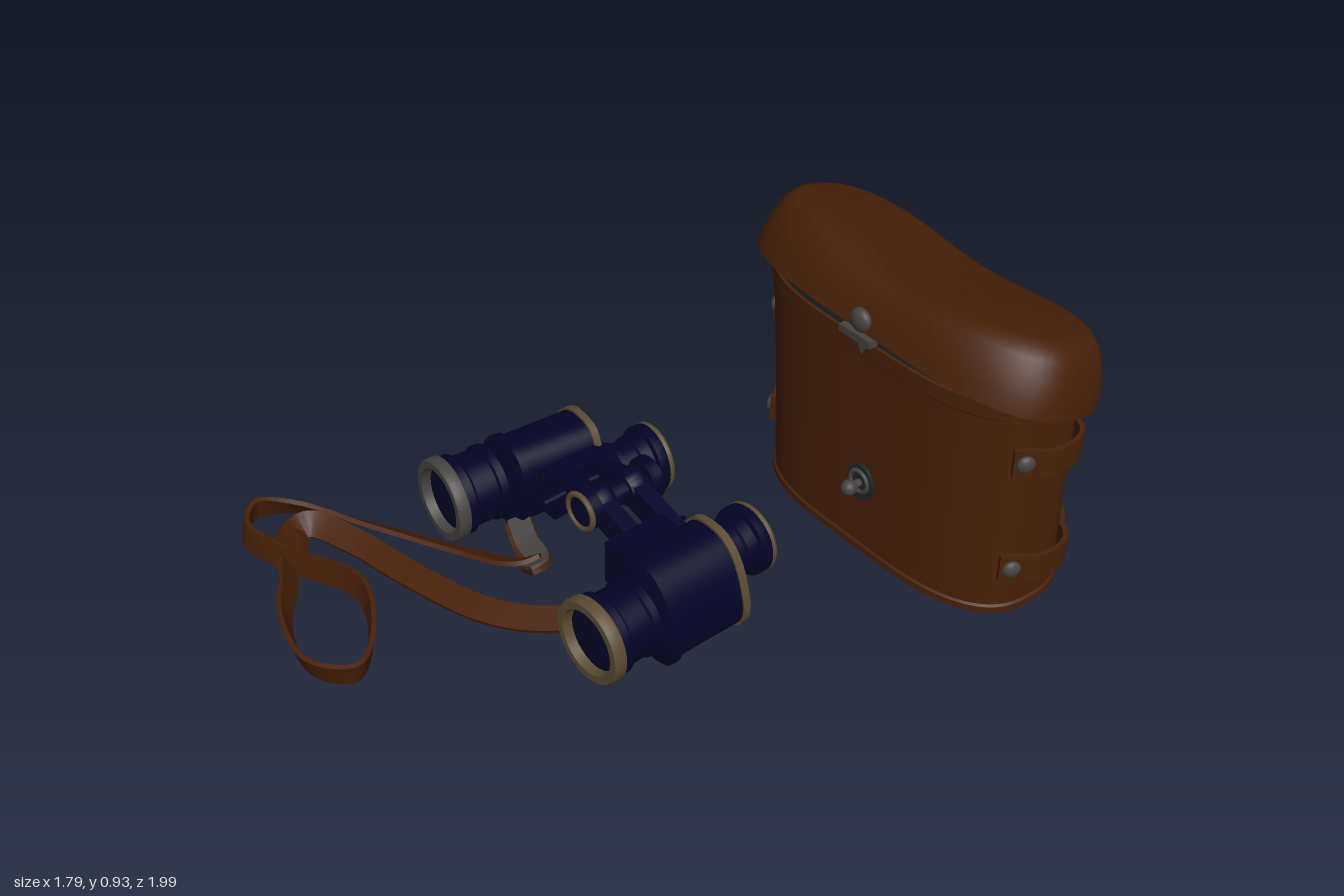
import * as THREE from 'three';
import { toCreasedNormals } from 'three/addons/utils/BufferGeometryUtils.js';

const material = (name, color) => {
  const m = new THREE.MeshStandardMaterial({ color });
  m.name = name;
  return m;
};
const V = (x, y, z) => new THREE.Vector3(x, y, z);

// Skin a list of equal-length rings (counter-clockwise about the travel direction), with end caps
function loft(rings, crease = 0.6) {
  const n = rings[0].length, pos = [], idx = [];
  rings.forEach(r => r.forEach(p => pos.push(p.x, p.y, p.z)));
  for (let i = 0; i < rings.length - 1; i++)
    for (let j = 0; j < n; j++) {
      const a = i * n + j, b = i * n + (j + 1) % n;
      idx.push(a, b, b + n, a, b + n, a + n);
    }
  [0, rings.length - 1].forEach((i, end) => {
    const c = V(0, 0, 0);
    rings[i].forEach(p => c.addScaledVector(p, 1 / n));
    const k = pos.length / 3;
    pos.push(c.x, c.y, c.z);
    for (let j = 0; j < n; j++) {
      const a = i * n + j, b = i * n + (j + 1) % n;
      end ? idx.push(k, a, b) : idx.push(k, b, a);
    }
  });
  const g = new THREE.BufferGeometry();
  g.setAttribute('position', new THREE.Float32BufferAttribute(pos, 3));
  g.setIndex(idx);
  return toCreasedNormals(g, crease);
}

// Flat leather band along [x, y, z, tilt] points; tilt 0 stands on edge
function band(points, width, thick, steps) {
  const curve = new THREE.CatmullRomCurve3(points.map(p => V(p[0], p[1], p[2])));
  const tilts = new THREE.CatmullRomCurve3(points.map(p => V(p[3] || 0, 0, 0)));
  const rings = [];
  for (let i = 0; i <= steps; i++) {
    const u = i / steps, c = curve.getPoint(u), t = curve.getTangent(u), a = tilts.getPoint(u).x;
    const side = V(0, 1, 0).cross(t).normalize();
    const w = t.clone().cross(side).multiplyScalar(Math.cos(a)).addScaledVector(side, Math.sin(a)).normalize();
    const n = t.clone().cross(w).normalize();
    rings.push([[1, 1], [-1, 1], [-1, -1], [1, -1]].map(([p, q]) =>
      c.clone().addScaledVector(w, p * width / 2).addScaledVector(n, q * thick / 2)));
  }
  return loft(rings);
}

const spow = (v, e) => Math.sign(v) * Math.abs(v) ** e;
const waist = x => Math.exp(-((x / 0.27) ** 2));

// Horizontal kidney-shaped ring of the case; dip lowers its middle
function caseRing(y, hx, hz, cx = 0, dip = 0) {
  return Array.from({ length: 72 }, (_, i) => {
    const a = i / 72 * Math.PI * 2;
    const x = hx * spow(Math.cos(a), 0.74), z = -hz * spow(Math.sin(a), 0.74);
    return V(x + cx, y - dip * waist(x), z * (1 - 0.05 * waist(x)));
  });
}

// Upright rounded ring of a prism housing, its top leaning sideways
function prismRing(z, hx, hy, lean) {
  return Array.from({ length: 40 }, (_, i) => {
    const a = i / 40 * Math.PI * 2;
    const k = spow(Math.sin(a), 0.78);
    return V(hx * spow(Math.cos(a), 0.78) * (1 - 0.12 * k) + lean * k, 0.18 + hy * k, z);
  });
}

// Turned part along z, profile as [radius, z] with z rising on the outside
function turned(profile) {
  const g = new THREE.LatheGeometry(profile.map(p => new THREE.Vector2(p[0], p[1])), 40);
  return toCreasedNormals(g.rotateX(Math.PI / 2), 0.6);
}

export function createModel() {
  const leather = material('brown leather', 0x472008);
  const navy = material('navy enamel', 0x040327);
  const brass = material('worn brass', 0x594a32);
  const steel = material('grey steel', 0x444340);
  const lining = material('dark lining', 0x1c2424);

  const root = new THREE.Group();
  const add = (parent, name, geo, mat, x = 0, y = 0, z = 0) => {
    const m = new THREE.Mesh(geo, mat);
    m.name = name;
    m.position.set(x, y, z);
    parent.add(m);
    return m;
  };
  const group = (parent, name, x, y, z) => {
    const g = new THREE.Group();
    g.name = name;
    g.position.set(x, y, z);
    parent.add(g);
    return g;
  };
  const box = (w, h, d) => new THREE.BoxGeometry(w, h, d);

  // Carrying case
  const carry = group(root, 'carryingCase', 0.32, 0, -0.737);
  carry.rotation.y = -0.03;
  add(carry, 'caseBody', loft([
    caseRing(0.03, 0.475, 0.222, 0.02), caseRing(0.035, 0.49, 0.24, 0.02), caseRing(0.055, 0.49, 0.24, 0.02),
    caseRing(0.06, 0.483, 0.234, 0.02), caseRing(0.4, 0.492, 0.237, 0.012), caseRing(0.69, 0.505, 0.239),
    caseRing(0.695, 0.511, 0.243), caseRing(0.742, 0.511, 0.243), caseRing(0.745, 0.5, 0.235),
  ]), leather);
  add(carry, 'caseLining', loft([caseRing(0.73, 0.5, 0.236), caseRing(0.79, 0.5, 0.232)]), lining);
  add(carry, 'hingePatch', new THREE.SphereGeometry(0.05, 20, 12), lining, 0.482, 0.645, -0.115).scale.set(0.4, 0.5, 1);

  // Lid tilted open at the front and slightly to one side, with a saddle-shaped top
  const lid = group(carry, 'lid', 0, 0.718, 0.006);
  lid.rotation.set(-0.27, 0, -0.025);
  add(lid, 'lidShell', loft([
    caseRing(0, 0.55, 0.25), caseRing(0, 0.572, 0.268), caseRing(0.05, 0.568, 0.262),
    caseRing(0.1, 0.552, 0.249, 0, 0.01), caseRing(0.15, 0.53, 0.23, 0, 0.028), caseRing(0.175, 0.508, 0.21, 0, 0.037),
    caseRing(0.188, 0.475, 0.18, 0, 0.042), caseRing(0.194, 0.3, 0.1, 0, 0.042), caseRing(0.195, 0.02, 0.01, 0, 0.042),
  ], 0.8), leather);
  add(lid, 'lidLining', loft([caseRing(-0.004, 0.558, 0.256), caseRing(0.02, 0.558, 0.256)]), lining);

  // Strap keepers wrapping from the front of each end to the back, with studs
  for (const s of [-1, 1])
    for (const y of [0.2, 0.56]) {
      const onEnd = (a, lift) => {
        const nx = s * Math.cos(a) ** 1.26 / 0.5, nz = spow(Math.sin(a), 1.26) / 0.237, l = Math.hypot(nx, nz);
        return [0.012 + s * 0.492 * Math.cos(a) ** 0.74 + lift * nx / l, y,
          0.237 * spow(Math.sin(a), 0.74) + lift * nz / l, Math.atan2(nz, nx)];
      };
      const path = Array.from({ length: 17 }, (_, i) => {
        const a = 0.4 - i / 16 * 1.54;
        return onEnd(a, 0.008 + 0.036 * Math.max(0, 1 - ((a + 0.06) / 0.3) ** 2)).slice(0, 3);
      });
      add(carry, 'strapKeeper', band(path, 0.085, 0.014, 40), leather);
      for (const a of [0.28, -1.04]) {
        const [px, py, pz, turn] = onEnd(a, 0.018);
        const stud = add(carry, 'keeperStud', new THREE.SphereGeometry(0.027, 20, 12), steel, px, py, pz);
        stud.scale.x = 0.6;
        stud.rotation.y = -turn;
      }
    }

  // Clasp on the lid and its socket below
  const disc = (r, d) => new THREE.CylinderGeometry(r, r, d, 28).rotateX(Math.PI / 2);
  add(carry, 'claspStud', new THREE.SphereGeometry(0.036, 24, 14), steel, 0.005, 0.812, 0.243).scale.z = 0.6;
  add(carry, 'claspPlate', box(0.12, 0.022, 0.03), steel, 0.005, 0.768, 0.25);
  add(carry, 'claspTongue', new THREE.CylinderGeometry(0.036, 0.036, 0.014, 3).rotateX(Math.PI / 2), steel, 0.01, 0.738, 0.231);
  add(carry, 'socketPlate', disc(0.048, 0.016), lining, 0.04, 0.28, 0.228).scale.y = 1.2;
  add(carry, 'socketRing', new THREE.TorusGeometry(0.034, 0.007, 10, 28), steel, 0.04, 0.285, 0.238);
  add(carry, 'socketPost', disc(0.012, 0.05), steel, 0.04, 0.28, 0.255);
  add(carry, 'socketKnob', new THREE.SphereGeometry(0.024, 20, 12), steel, 0.04, 0.28, 0.275);

  // Field glass: two barrels
  const glass = group(root, 'fieldGlass', 0, 0, 0);
  function barrel(name, x, z, yaw, eyeX, objX, lean, rimMat, coverMat, eyeMat) {
    const b = group(glass, name, x, 0, z);
    b.rotation.y = yaw;
    const prism = (label, mat, ...rings) => add(b, label, loft(rings.map(r => prismRing(...r, lean))), mat);
    prism('prismHousing', navy, [-0.065, 0.118, 0.14], [0.165, 0.118, 0.14], [0.168, 0.126, 0.15],
      [0.19, 0.126, 0.15], [0.205, 0.1, 0.12]);
    prism('prismBackTrim', brass, [-0.078, 0.124, 0.148], [-0.056, 0.124, 0.148]);
    prism('prismBackCover', coverMat, [-0.09, 0.1, 0.12], [-0.084, 0.118, 0.142], [-0.074, 0.118, 0.142]);
    add(b, 'objectiveTube', turned([[0.1, 0.17], [0.1, 0.21], [0.114, 0.212], [0.114, 0.235], [0.106, 0.24],
      [0.108, 0.31], [0.12, 0.32], [0.12, 0.36]]), navy, objX, 0.168);
    add(b, 'objectiveRim', turned([[0.12, 0.345], [0.127, 0.35], [0.127, 0.378], [0.122, 0.386], [0.1, 0.386],
      [0.094, 0.355]]), rimMat, objX, 0.168);
    add(b, 'objectiveLens', turned([[0.102, 0.356], [0.07, 0.364], [0.001, 0.368]]), navy, objX, 0.168);
    add(b, 'eyepieceTube', turned([[0.1, -0.236], [0.104, -0.23], [0.104, -0.2], [0.09, -0.195], [0.088, -0.16],
      [0.08, -0.155], [0.08, -0.11], [0.09, -0.105], [0.09, -0.07]]), navy, eyeX, 0.175);
    add(b, 'eyepieceCup', turned([[0.066, -0.225], [0.074, -0.248], [0.092, -0.248]]), eyeMat, eyeX, 0.175);
    add(b, 'eyepieceRim', turned([[0.092, -0.248], [0.1, -0.248], [0.106, -0.24], [0.104, -0.23]]), brass, eyeX, 0.175);
    add(b, 'eyepieceLens', turned([[0.001, -0.226], [0.07, -0.23]]), navy, eyeX, 0.175);
    // Shoulder joining the eyepiece to the housing
    add(b, 'eyepieceShoulder', turned([[0.001, -0.095], [0.088, -0.095], [0.094, -0.085], [0.094, -0.02], [0.001, -0.02]]),
      navy, eyeX, 0.175);
  }
  barrel('rightBarrel', -0.385, 0, -0.1, 0.145, -0.03, 0.025, steel, navy, brass);
  barrel('leftBarrel', 0.285, 0.045, 0, -0.045, 0, -0.025, brass, brass, navy);

  // Central hinge, focus wheel and bridge arms
  const hinge = group(glass, 'hinge', -0.075, 0.25, 0);
  add(hinge, 'hingeTube', turned([[0.001, -0.06], [0.036, -0.06], [0.036, 0.15], [0.001, 0.15]]), navy);
  add(hinge, 'focusWheel', turned([[0.001, -0.1], [0.058, -0.1], [0.066, -0.094], [0.066, -0.066], [0.058, -0.06], [0.001, -0.06]]), navy);
  for (const z of [-0.02, 0.095])
    add(hinge, 'hingeKnuckle', turned([[0.001, z - 0.03], [0.05, z - 0.03], [0.055, z - 0.02], [0.055, z + 0.02], [0.05, z + 0.03], [0.001, z + 0.03]]), navy);
  add(hinge, 'hingeCap', turned([[0.001, 0.12], [0.06, 0.12], [0.06, 0.16], [0.001, 0.165]]), navy);
  add(hinge, 'hingeCapRing', new THREE.TorusGeometry(0.054, 0.009, 10, 32), brass, 0, 0, 0.16);
  for (const z of [-0.02, 0.1])
    for (const [dx, dy] of [[-0.18, -0.04], [0.24, -0.07]]) {
      const arm = add(hinge, 'bridgeArm', box(Math.hypot(dx, dy), 0.085, 0.05), navy, dx / 2, dy / 2, z);
      arm.rotation.z = Math.atan(dy / dx);
    }
  add(glass, 'leftFlange', box(0.11, 0.14, 0.2), navy, 0.135, 0.19, 0.1);
  add(glass, 'rightFlange', box(0.07, 0.14, 0.2), navy, -0.245, 0.2, 0.05);
  for (const x of [-0.2, 0.115])
    add(glass, 'bridgeScrew', turned([[0.001, -0.06], [0.018, -0.06], [0.018, 0.2], [0.001, 0.2]]), navy, x, 0.22, 0);

  // Neck strap lying in loops
  add(root, 'neckStrap', band([
    [-0.16, 0.08, 0.24, 0.9], [-0.2, 0.06, 0.3, 1.0], [-0.36, 0.045, 0.38, 1.0], [-0.6, 0.05, 0.51, 0.9], [-0.81, 0.055, 0.63, 0.6],
    [-0.88, 0.06, 0.74, 0.25], [-0.8, 0.06, 0.82, 0.2], [-0.62, 0.055, 0.78, 0.2], [-0.4, 0.06, 0.7, 0.2],
    [-0.2, 0.06, 0.79, 0.2], [-0.11, 0.06, 0.9, 0.25], [-0.2, 0.06, 0.98, 0.3], [-0.4, 0.055, 0.94, 0.3],
    [-0.56, 0.05, 0.83, 0.5], [-0.72, 0.045, 0.73, 0.7], [-0.74, 0.045, 0.65, 0.8], [-0.6, 0.04, 0.59, 1.1],
    [-0.35, 0.035, 0.54, 1.25], [-0.1, 0.04, 0.47, 1.2], [0.06, 0.06, 0.365, 1.2], [0.17, 0.1, 0.22, 1.2],
  ], 0.078, 0.014, 180), leather);
  add(root, 'strapKeeperLoop', band([[-0.7, 0.05, 0.735, 0.7], [-0.63, 0.05, 0.745, 0.6]], 0.085, 0.03, 4), leather);

  // Metal strap end with a leather tab under it
  const tab = drop => [[-0.32, 0.1, 0.2, 1.2], [-0.24, 0.075, 0.23, 1.2], [-0.16, 0.07, 0.25, 1.1], [-0.16, 0.06, 0.29, 1]]
    .map(([x, y, z, t]) => [x, y - drop, z, t]);
  add(root, 'strapEnd', band(tab(0), 0.065, 0.01, 16), steel);
  add(root, 'strapTab', band(tab(0.016), 0.08, 0.016, 16), leather);

  return root;
}
